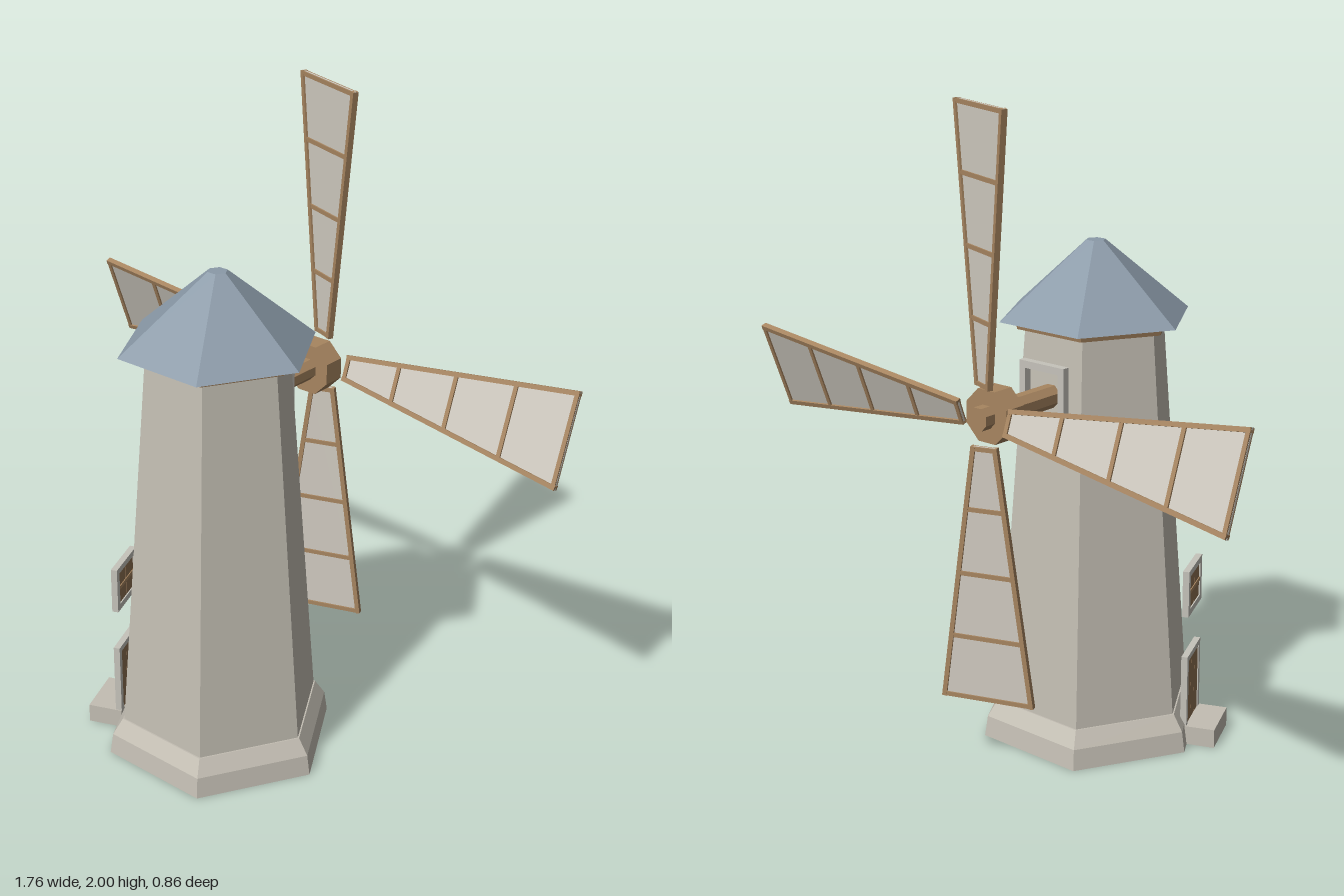
import * as THREE from 'three';

const mat = (name, color) => {
  const m = new THREE.MeshStandardMaterial({ color });
  m.name = name;
  return m;
};

export function createModel() {
  const stone = mat('stone', 0xc3beb3);
  const trim = mat('stone trim', 0xc6c3bb);
  const slate = mat('slate blue', 0x8b9aa8);
  const wood = mat('wood', 0xa78560);
  const darkWood = mat('door wood', 0x8f7152);
  const cloth = mat('sail cloth', 0xcfcac0);

  const model = new THREE.Group();
  model.name = 'windmill';

  const add = (parent, name, geo, material, x = 0, y = 0, z = 0) => {
    const flat = geo.index ? geo.toNonIndexed() : geo;
    flat.computeVertexNormals();
    const mesh = new THREE.Mesh(flat, material);
    mesh.name = name;
    mesh.position.set(x, y, z);
    parent.add(mesh);
    return mesh;
  };
  const group = (parent, name) => {
    const g = new THREE.Group();
    g.name = name;
    parent.add(g);
    return g;
  };
  const box = (w, h, d) => new THREE.BoxGeometry(w, h, d);

  // Hexagonal tower, corners on the x axis
  const tower = group(model, 'tower');
  tower.position.z = 0.112;
  const hex = (name, r0, r1, y0, y1, material) =>
    add(tower, name, new THREE.CylinderGeometry(r1, r0, y1 - y0, 6).rotateY(Math.PI / 6),
      material, 0, (y0 + y1) / 2, 0);
  hex('baseLower', 0.363, 0.353, 0, 0.065, stone);
  hex('baseUpper', 0.353, 0.32, 0.065, 0.115, stone);
  hex('towerWall', 0.315, 0.22, 0.115, 1.31, stone);
  hex('eavesBeam', 0.245, 0.252, 1.303, 1.33, wood);
  hex('roof', 0.3, 0.03, 1.328, 1.555, slate);

  // Rectangular frame around an opening, facing +z
  const frame = (parent, name, w, h, t, d, sides) => {
    const f = group(parent, name);
    for (const s of [-1, 1]) {
      add(f, 'jamb', box(t, h, d), trim, s * (w - t) / 2, 0, 0);
      if (sides.includes(s)) add(f, 'rail', box(w - 2 * t, t, d), trim, 0, s * (h - t) / 2, 0);
    }
    return f;
  };

  // Entrance side: door, shuttered window and step
  const entrance = group(tower, 'entrance');
  entrance.rotation.y = -Math.PI * 3 / 8;
  add(entrance, 'doorStep', box(0.167, 0.06, 0.11), stone, 0, 0.03, 0.36);
  const doorFrame = frame(entrance, 'doorFrame', 0.16, 0.235, 0.018, 0.02, [1]);
  doorFrame.position.set(0, 0.173, 0.315);
  for (const x of [-0.041, 0, 0.041])
    add(entrance, 'doorPlank', box(0.04, 0.215, 0.014), darkWood, x, 0.165, 0.315);
  const windowFrame = frame(entrance, 'windowFrame', 0.16, 0.148, 0.02, 0.02, [-1, 1]);
  windowFrame.position.set(0, 0.497, 0.315);
  for (const s of [-1, 1])
    add(entrance, 'shutter', box(0.058, 0.108, 0.012), darkWood, s * 0.0305, 0.497, 0.315);
  add(entrance, 'shutterBar', box(0.12, 0.012, 0.018), wood, 0, 0.497, 0.315);

  // Rear opening around the axle
  const rearFrame = frame(model, 'axleOpeningFrame', 0.17, 0.175, 0.022, 0.024, [-1, 1]);
  rearFrame.position.set(0, 1.137, -0.122);
  add(model, 'axleOpeningSill', box(0.17, 0.02, 0.02), trim, 0, 1.045, -0.108);

  // Axle and hub
  const sails = group(model, 'sails');
  sails.position.set(0, 1.12, -0.378);
  const rod = (name, r, z0, z1) =>
    add(sails, name, new THREE.CylinderGeometry(r, r, z1 - z0, 8).rotateX(Math.PI / 2)
      .rotateZ(Math.PI / 8), wood, 0, 0, (z0 + z1) / 2);
  rod('axle', 0.036, -0.027, 0.3);
  rod('hub', 0.084, 0.01, 0.08);

  // Tapered sail: cloth panel, wooden edges and cross battens
  const start = 0.088, end = 0.88;
  const half = x => 0.04 + (0.146 - 0.04) * (x - start) / (end - start);
  for (let i = 0; i < 4; i++) {
    const sail = group(sails, 'sail');
    sail.rotation.set(-0.35, 0, i * Math.PI / 2, 'ZYX');
    const shape = new THREE.Shape([
      new THREE.Vector2(start, -half(start)), new THREE.Vector2(end, -half(end)),
      new THREE.Vector2(end, half(end)), new THREE.Vector2(start, half(start))]);
    const panel = new THREE.ExtrudeGeometry(shape, { depth: 0.006, bevelEnabled: false });
    add(sail, 'cloth', panel, cloth, 0, 0, -0.003);
    for (const s of [-1, 1]) {
      const run = end - start, rise = half(end) - half(start);
      const edge = add(sail, 'edgeSpar', box(Math.hypot(run, rise), 0.014, 0.018), wood,
        (start + end) / 2, s * ((half(start) + half(end)) / 2 - 0.007), 0);
      edge.rotation.z = s * Math.atan2(rise, run);
    }
    for (const x of [start + 0.007, 0.28, 0.48, 0.68, end - 0.007])
      add(sail, 'batten', box(0.013, 2 * half(x) - 0.012, 0.016), wood, x, 0, 0);
  }
  return model;
}
